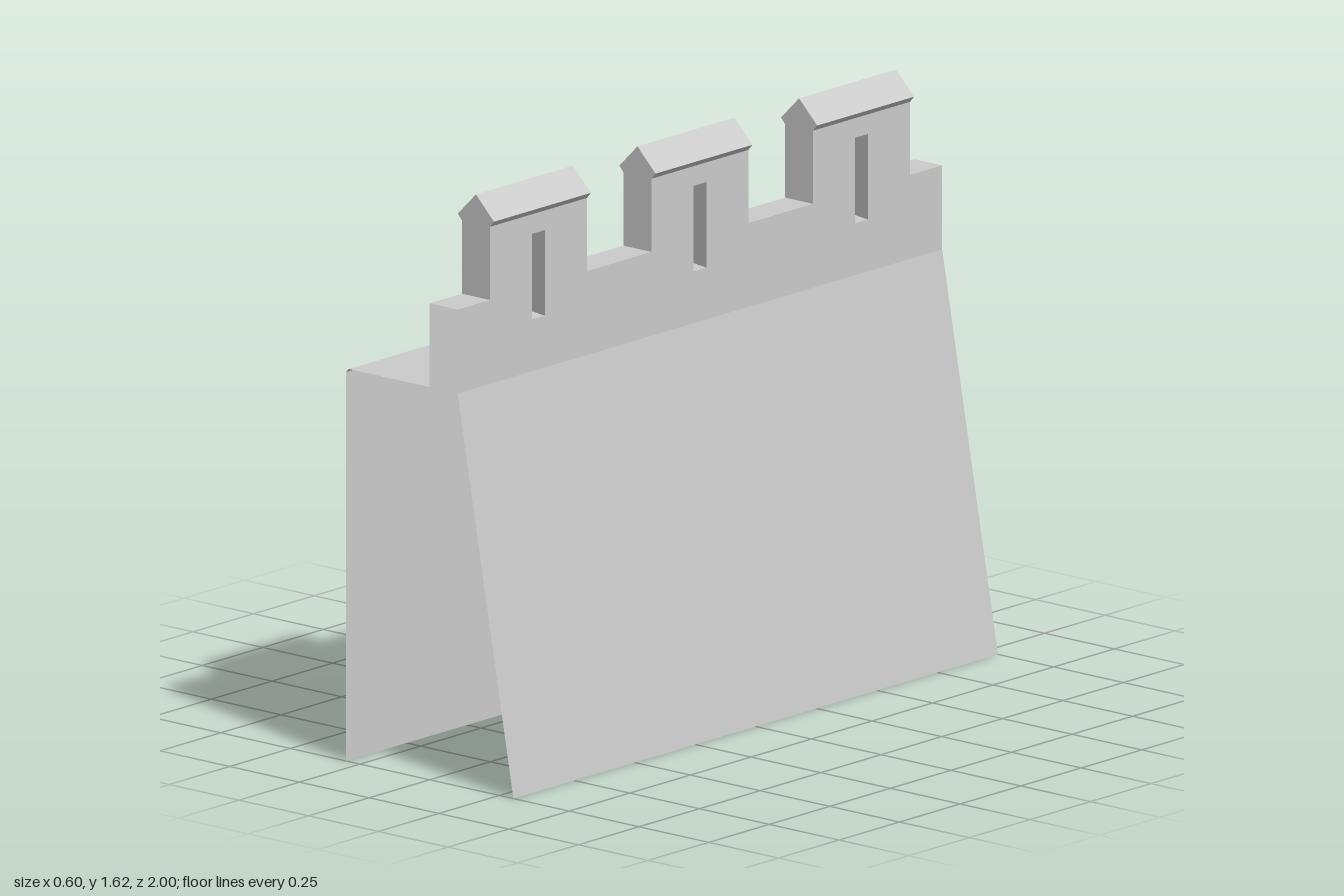
import * as THREE from 'three';

const material = new THREE.MeshStandardMaterial({ color: 0xcccccc, side: THREE.DoubleSide, flatShading: true });

const WALK = 1.1, CRENEL = 1.335, EAVE = 1.54, THICK = 0.1;
const MERLONS = [-0.667, 0, 0.667], HALF = 0.2;
const SLIT_BASE = 1.245;
const OUTER = { half: 0.027, top: 1.485 }, INNER = { half: 0.05, top: 1.515 };

// Flat strips joining two matching lines of points
function loft(a, b) {
  const pos = [];
  for (let i = 0; i < a.length - 1; i++) {
    for (const p of [a[i], a[i + 1], b[i + 1], a[i], b[i + 1], b[i]]) pos.push(...p);
  }
  const g = new THREE.BufferGeometry();
  g.setAttribute('position', new THREE.Float32BufferAttribute(pos, 3));
  g.computeVertexNormals();
  return g;
}

// An x-y profile swept along z
const sweep = (profile, z0, z1) =>
  loft(profile.map(([x, y]) => [x, y, z0]), profile.map(([x, y]) => [x, y, z1]));

const slitLoop = ({ half, top }, x, z) =>
  [[half, SLIT_BASE], [-half, SLIT_BASE], [-half, top], [half, top], [half, SLIT_BASE]].map(([dz, y]) => [x, y, z + dz]);

// Crenellated sheet pierced by one slit per merlon
function battlementFace({ half, top }) {
  const points = [[-1, WALK], [1, WALK], [1, CRENEL]];
  for (const c of [...MERLONS].reverse()) {
    points.push([c + HALF, CRENEL], [c + HALF, EAVE], [c - HALF, EAVE], [c - HALF, CRENEL]);
  }
  points.push([-1, CRENEL]);
  const shape = new THREE.Shape(points.map(p => new THREE.Vector2(...p)));
  for (const c of MERLONS) {
    const hole = [[c - half, SLIT_BASE], [c - half, top], [c + half, top], [c + half, SLIT_BASE]];
    shape.holes.push(new THREE.Path(hole.map(p => new THREE.Vector2(...p))));
  }
  return new THREE.ShapeGeometry(shape);
}

export function createModel() {
  const group = new THREE.Group();
  const add = (name, geometry, parent = group) => {
    const mesh = new THREE.Mesh(geometry, material);
    mesh.name = name;
    parent.add(mesh);
    return mesh;
  };

  // Open-ended wall: sloping outside, walkway with bevelled edge, upright back
  add('slopingOuterWall', sweep([[0.3, 0], [THICK, WALK]], -1, 1));
  add('walkway', sweep([[0, WALK], [-0.29, WALK], [-0.3, 1.09]], -1, 1));
  add('backWall', sweep([[-0.3, 1.09], [-0.3, 0]], -1, 1));

  // Parapet faces
  add('parapetOuterFace', battlementFace(OUTER).rotateY(Math.PI / 2).translate(THICK, 0, 0));
  add('parapetInnerFace', battlementFace(INNER).rotateY(-Math.PI / 2));

  // Level tops between the merlons
  const stops = [-1, ...MERLONS.flatMap(c => [c - HALF, c + HALF]), 1];
  for (let i = 0; i < stops.length; i += 2) {
    add('crenelTop', sweep([[THICK, CRENEL], [0, CRENEL]], stops[i], stops[i + 1]));
  }

  // Merlons: gabled cap with small eaves, closed ends, splayed slit
  const cap = [[THICK, EAVE], [0.115, 1.557], [0.05, 1.622], [-0.015, 1.557], [0, EAVE]];
  const endShape = new THREE.Shape(
    [[0, CRENEL], [THICK, CRENEL], ...cap].map(p => new THREE.Vector2(...p)));
  for (const c of MERLONS) {
    const merlon = new THREE.Group();
    merlon.name = 'merlon';
    group.add(merlon);
    add('roofCap', sweep(cap, c - HALF, c + HALF), merlon);
    add('frontEnd', new THREE.ShapeGeometry(endShape).translate(0, 0, c + HALF), merlon);
    add('backEnd', new THREE.ShapeGeometry(endShape).rotateY(Math.PI).translate(THICK, 0, c - HALF), merlon);
    add('arrowSlit', loft(slitLoop(OUTER, THICK, c), slitLoop(INNER, 0, c)), merlon);
  }
  return group;
}
